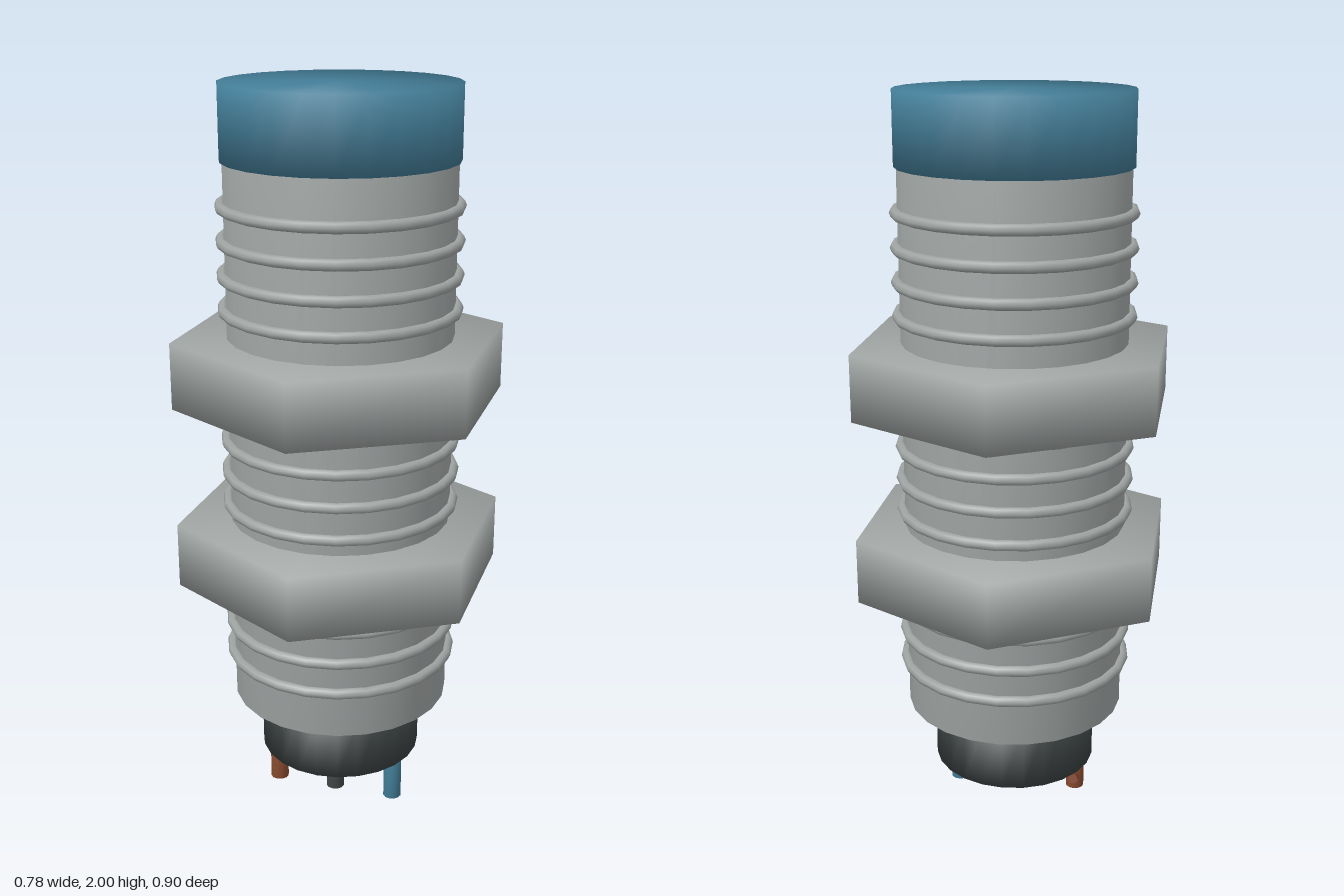
import * as THREE from 'three';
import { mergeVertices } from 'three/addons/utils/BufferGeometryUtils.js';

const paint = (name, color) => {
  const m = new THREE.MeshStandardMaterial({ color });
  m.name = name;
  return m;
};

// Weld the corners so shading runs softly over the edges
function soften(geometry) {
  geometry.deleteAttribute('uv');
  geometry.deleteAttribute('normal');
  const g = mergeVertices(geometry, 1e-4);
  g.computeVertexNormals();
  return g;
}

export function createModel() {
  const model = new THREE.Group();
  model.name = 'proximitySensor';

  const steel = paint('steel grey', 0x9fa4a3);
  const blue = paint('sensor blue', 0x437d97);
  const dark = paint('dark plastic', 0x3b4141);
  const black = paint('black insulation', 0x444848);
  const brown = paint('brown insulation', 0x8a4c30);
  const copper = paint('copper', 0x7d4026);

  const add = (name, geometry, material, x = 0, y = 0, z = 0, parent = model) => {
    const mesh = new THREE.Mesh(geometry, material);
    mesh.name = name;
    mesh.position.set(x, y, z);
    parent.add(mesh);
    return mesh;
  };

  // Upright prism between two heights
  const post = (name, radius, y0, y1, sides, material, x = 0, z = 0, parent = model) =>
    add(name, soften(new THREE.CylinderGeometry(radius, radius, y1 - y0, sides)),
      material, x, (y0 + y1) / 2, z, parent);

  // Barrel, sensing cap and cable plug
  post('barrel', 0.3, 0.32, 1.81, 24, steel);
  post('sensingCap', 0.307, 1.81, 2, 24, blue);
  post('cablePlug', 0.225, 0.14, 0.32, 24, dark);

  // Thread ridges along the barrel
  const ridge = new THREE.TorusGeometry(0.306, 0.015, 8, 24);
  ridge.rotateX(Math.PI / 2);
  for (let i = 0; i < 15; i++) add('threadRidge', ridge, steel, 0, 0.453 + i * 0.0888, 0);

  // Two hexagonal lock nuts, corners to front and back
  post('lowerNut', 0.45, 0.675, 0.852, 6, steel);
  post('upperNut', 0.45, 1.18, 1.358, 6, steel);

  // Three wires, each with a short copper end poking out behind
  [['brownWire', -0.172, brown], ['blackWire', 0, black], ['blueWire', 0.172, blue]]
    .forEach(([name, x, material]) => {
      const wire = new THREE.Group();
      wire.name = name;
      model.add(wire);
      post('insulation', 0.026, 0, 0.15, 12, material, x, 0.05, wire);
      const end = add('copperEnd', new THREE.CylinderGeometry(0.014, 0.014, 0.05, 10),
        copper, x, 0.037, 0.027, wire);
      end.rotation.x = -Math.PI / 2 + 0.3;
    });

  return model;
}
